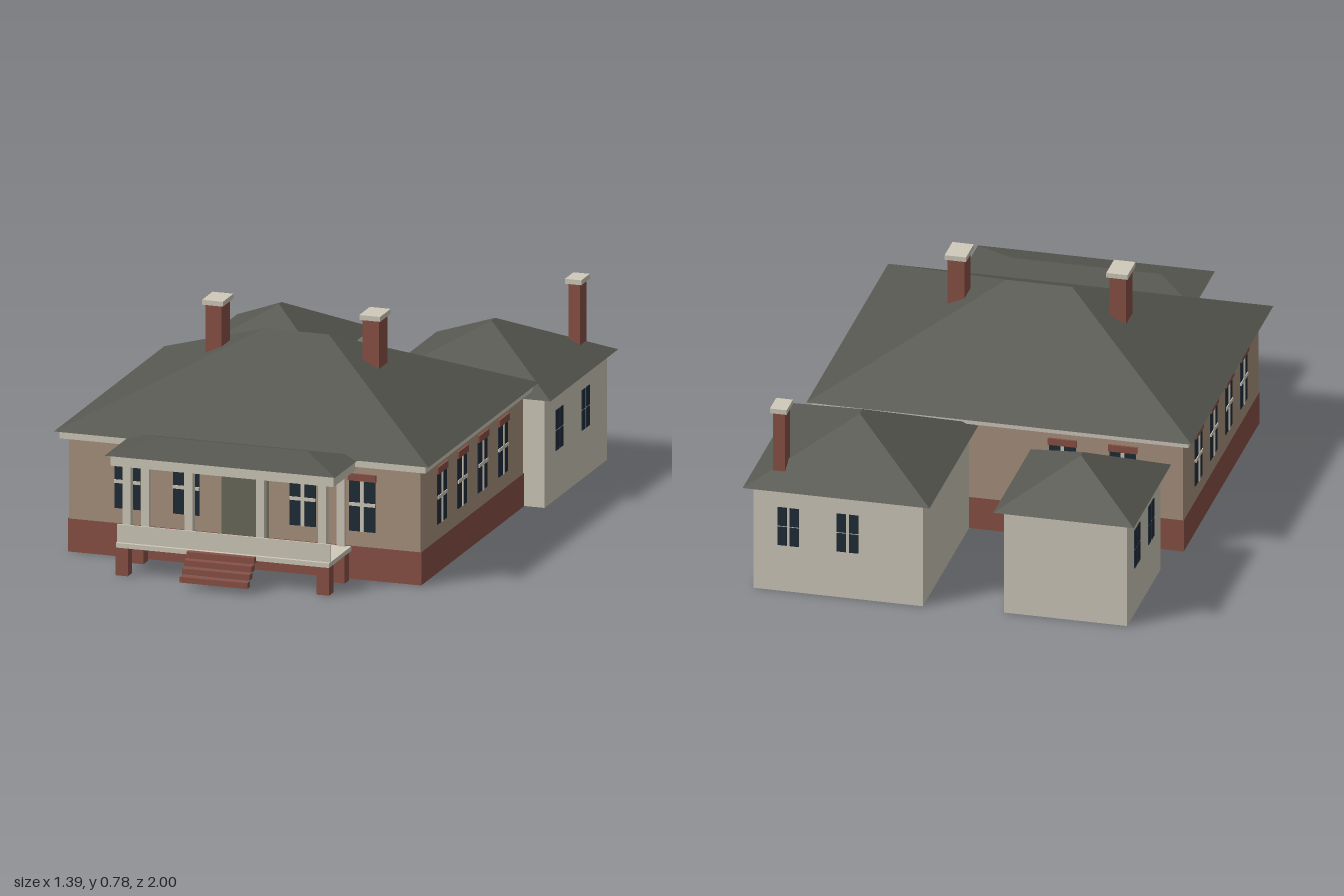
import * as THREE from 'three';

const mat = (name, color, side = THREE.FrontSide) => {
  const m = new THREE.MeshStandardMaterial({ color, side });
  m.name = name;
  return m;
};

export function createModel() {
  const house = new THREE.Group();
  house.name = 'house';
  const roofMat = mat('slate', 0x575751, THREE.DoubleSide);
  const plaster = mat('tanPlaster', 0xa9937f, THREE.DoubleSide);
  const brick = mat('redBrick', 0x8a5145, THREE.DoubleSide);
  const cream = mat('creamPaint', 0xd0cabb, THREE.DoubleSide);
  const glass = mat('darkGlass', 0x1f2c38);
  const doorMat = mat('doorPaint', 0x6b6a5c);

  const add = (name, geo, material, parent = house) => {
    const m = new THREE.Mesh(geo, material);
    m.name = name;
    parent.add(m);
    return m;
  };
  // Box given by its two extreme corners
  const box = (name, material, x0, x1, y0, y1, z0, z1, parent) => {
    const g = new THREE.BoxGeometry(x1 - x0, y1 - y0, z1 - z0);
    g.translate((x0 + x1) / 2, (y0 + y1) / 2, (z0 + z1) / 2);
    return add(name, g, material, parent);
  };
  // Four walls without floor or ceiling
  const walls = (name, material, ...b) => {
    const m = box(name, material, ...b);
    const i = Array.from(m.geometry.index.array);
    m.geometry.setIndex([...i.slice(0, 12), ...i.slice(24)]);
    m.geometry.clearGroups();
    return m;
  };
  // Hip roof: rectangular eave rising to a ridge from (rx0, rz0) to (rx1, rz1)
  const hipRoof = (name, x0, x1, z0, z1, y, top, rx0, rx1, rz0, rz1) => {
    const a = [x0, y, z1], b = [x1, y, z1], c = [x1, y, z0], d = [x0, y, z0];
    const tops = [[rx0, top, rz1], [rx1, top, rz1], [rx1, top, rz0], [rx0, top, rz0]];
    const base = [a, b, c, d], p = [];
    const tri = (...v) => v.forEach((q) => p.push(...q));
    for (let i = 0; i < 4; i++) {
      const j = (i + 1) % 4;
      tri(base[i], base[j], tops[j]);
      if (tops[i].join() !== tops[j].join()) tri(base[i], tops[j], tops[i]);
    }
    tri(a, c, b);
    tri(a, d, c);
    const g = new THREE.BufferGeometry();
    g.setAttribute('position', new THREE.Float32BufferAttribute(p, 3));
    g.computeVertexNormals();
    add(name, g, roofMat);
  };
  // Group on a wall, turned to face outward
  const onWall = (name, x, y, z, turn) => {
    const g = new THREE.Group();
    g.name = name;
    g.position.set(x, y, z);
    g.rotation.y = turn;
    house.add(g);
    return g;
  };
  // Sash window with cross bars and a brick lintel
  const sashWindow = (x, z, turn) => {
    const w = onWall('sashWindow', x, 0.255, z, turn);
    box('glass', glass, -0.046, 0.046, -0.088, 0.088, 0, 0.003, w);
    box('uprightBar', cream, -0.006, 0.006, -0.088, 0.088, 0, 0.006, w);
    box('crossBar', cream, -0.046, 0.046, 0, 0.012, 0, 0.006, w);
    box('lintel', brick, -0.05, 0.05, 0.088, 0.112, 0, 0.008, w);
  };
  // Plain four-pane window
  const paneWindow = (x, z, turn) => {
    const w = onWall('paneWindow', x, 0.24, z, turn);
    for (const sx of [-1, 1]) for (const sy of [-1, 1]) {
      const pane = box('pane', glass, -0.016, 0.016, -0.034, 0.034, 0, 0.003, w);
      pane.position.set(sx * 0.021, sy * 0.036, 0);
    }
  };
  const chimney = (x, z, w, d, y0, y1) => {
    box('chimneyStack', brick, x - w / 2, x + w / 2, y0, y1, z - d / 2, z + d / 2);
    box('chimneyCap', cream, x - w / 2 - 0.008, x + w / 2 + 0.008, y1, y1 + 0.017,
      z - d / 2 - 0.011, z + d / 2 + 0.011);
  };
  const R = Math.PI / 2;
  const CX = -0.035;

  // Main block
  walls('mainWalls', plaster, -0.658, 0.59, 0, 0.42, -0.34, 0.685);
  walls('brickBase', brick, -0.661, 0.593, 0, 0.115, -0.343, 0.688);
  hipRoof('mainRoof', -0.7, 0.63, -0.39, 0.72, 0.422, 0.685, -0.147, 0.08, 0.165, 0.165);
  box('frontFascia', cream, -0.683, 0.616, 0.397, 0.421, 0.685, 0.71);
  box('backFascia', cream, -0.683, 0.616, 0.397, 0.421, -0.367, -0.34);
  box('leftFascia', cream, 0.59, 0.616, 0.397, 0.421, -0.34, 0.685);
  box('rightFascia', cream, -0.683, -0.658, 0.397, 0.421, -0.34, 0.685);
  for (const x of [-0.315, 0.243]) chimney(x, 0.163, 0.058, 0.084, 0.5, 0.761);

  // Main windows
  for (const x of [-0.45, -0.242, 0.172, 0.383]) sashWindow(x, 0.685, 0);
  for (const x of [-0.45, -0.242]) sashWindow(x, -0.34, Math.PI);
  for (const z of [0.477, 0.273, 0.068, -0.137]) {
    sashWindow(0.59, z, R);
    sashWindow(-0.658, z, -R);
  }
  box('door', doorMat, -0.115, 0.05, 0.115, 0.335, 0.685, 0.69);

  // Large rear wing
  walls('rearWingWalls', cream, 0.08, 0.665, 0, 0.38, -0.97, -0.346);
  hipRoof('rearWingRoof', 0.05, 0.695, -1, -0.32, 0.38, 0.545, 0.372, 0.372, -0.678, -0.642);
  chimney(0.589, -0.89, 0.042, 0.064, 0.36, 0.636);
  for (const z of [-0.49, -0.755]) paneWindow(0.665, z, R);
  for (const x of [0.545, 0.34]) paneWindow(x, -0.97, Math.PI);

  // Small rear outbuilding
  walls('outbuildingWalls', cream, -0.62, -0.195, 0, 0.38, -0.95, -0.5);
  hipRoof('outbuildingRoof', -0.65, -0.165, -0.98, -0.47, 0.38, 0.51, -0.407, -0.407, -0.738, -0.712);
  for (const z of [-0.82, -0.63]) paneWindow(-0.62, z, -R);

  // Porch
  hipRoof('porchRoof', -0.443, 0.375, 0.645, 0.937, 0.42, 0.46, -0.295, 0.225, 0.791, 0.791);
  box('porchBeam', cream, -0.426, 0.366, 0.384, 0.419, 0.7, 0.926);
  box('porchFloor', cream, -0.412, 0.345, 0.097, 0.113, 0.689, 0.912);
  box('porchParapet', cream, -0.412, 0.345, 0.113, 0.175, 0.894, 0.9);
  for (const dx of [-0.347, -0.127, 0.127, 0.347])
    box('porchColumn', cream, CX + dx - 0.014, CX + dx + 0.014, 0.113, 0.384, 0.862, 0.89);
  for (const s of [-1, 1]) {
    const x = CX + s * 0.347;
    box('porchPilaster', cream, x - 0.014, x + 0.014, 0.113, 0.384, 0.688, 0.702);
    for (const z of [0.888, 0.73]) {
      const px = CX + s * 0.357;
      box('porchPier', brick, px - 0.022, px + 0.022, 0, 0.097, z - 0.022, z + 0.022);
    }
  }
  for (let i = 0; i < 4; i++)
    box('porchStep', brick, -0.154, 0.086, 0.023 + i * 0.023, 0.043 + i * 0.023,
      0.972 - i * 0.022, 1 - i * 0.022);

  return house;
}
